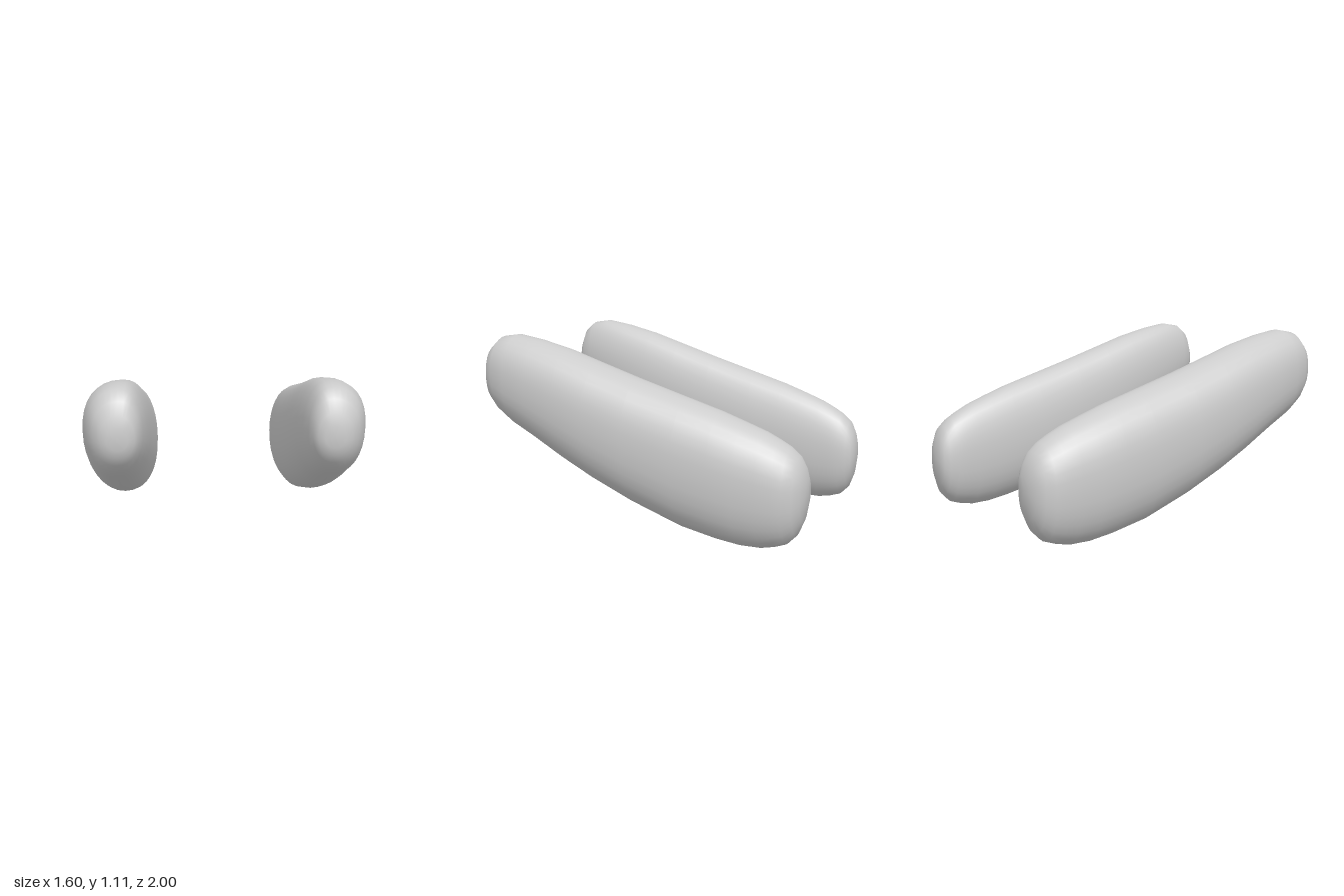
import * as THREE from 'three';
import { mergeVertices } from 'three/addons/utils/BufferGeometryUtils.js';

// Cross-sections from back to front: z, bottom y, top y, inner x, outer x
const SECTIONS = [
  [-1, 0.32, 0.32, 0.54, 0.54],
  [-0.997, 0.25, 0.40, 0.48, 0.59],
  [-0.98, 0.16, 0.46, 0.45, 0.64],
  [-0.95, 0.085, 0.52, 0.43, 0.685],
  [-0.9, 0.035, 0.565, 0.415, 0.71],
  [-0.84, 0.015, 0.60, 0.408, 0.728],
  [-0.76, 0, 0.64, 0.402, 0.745],
  [-0.64, 0.003, 0.685, 0.396, 0.765],
  [-0.5, 0.025, 0.735, 0.392, 0.78],
  [-0.3, 0.07, 0.795, 0.388, 0.792],
  [0, 0.18, 0.885, 0.386, 0.80],
  [0.25, 0.29, 0.965, 0.387, 0.798],
  [0.45, 0.39, 1.03, 0.391, 0.79],
  [0.65, 0.5, 1.08, 0.401, 0.775],
  [0.8, 0.575, 1.106, 0.415, 0.757],
  [0.9, 0.64, 1.092, 0.433, 0.727],
  [0.955, 0.695, 1.045, 0.45, 0.695],
  [0.985, 0.745, 0.97, 0.475, 0.655],
  [0.997, 0.79, 0.91, 0.51, 0.62],
  [1, 0.85, 0.85, 0.565, 0.565],
];
const SIDES = 32;

// Superellipse power, slightly boxier than an ellipse
const soft = (v) => Math.sign(v) * Math.pow(Math.abs(v), 0.9);

function padGeometry(side) {
  const positions = [];
  const indices = [];
  SECTIONS.forEach(([z, bottom, top, inner, outer], i) => {
    const halfW = (outer - inner) / 2;
    for (let j = 0; j < SIDES; j++) {
      const a = (j / SIDES) * Math.PI * 2;
      const u = soft(Math.cos(a));
      const v = soft(Math.sin(a));
      // The upper half leans a little towards the middle of the model
      const lean = -0.15 * halfW * Math.max(v, 0) ** 2 * (1 - u * u);
      const x = (inner + outer) / 2 + halfW * u + lean;
      positions.push(side * x, (top + bottom) / 2 + ((top - bottom) / 2) * v, z);
      if (i === SECTIONS.length - 1) continue;
      const p = i * SIDES + j;
      const q = i * SIDES + ((j + 1) % SIDES);
      const r = p + SIDES;
      const s = q + SIDES;
      // Collapsed end sections need only one triangle per side
      const tris = [];
      if (i > 0) tris.push([p, q, r]);
      if (i < SECTIONS.length - 2) tris.push([q, s, r]);
      if (i === 0) tris[0] = [p, s, r];
      for (const [k, l, m] of tris) indices.push(...(side > 0 ? [k, l, m] : [k, m, l]));
    }
  });
  let geometry = new THREE.BufferGeometry();
  geometry.setAttribute('position', new THREE.Float32BufferAttribute(positions, 3));
  geometry.setIndex(indices);
  geometry = mergeVertices(geometry, 1e-5);
  geometry.computeVertexNormals();
  return geometry;
}

export function createModel() {
  const group = new THREE.Group();
  const material = new THREE.MeshStandardMaterial({ color: 0xcccccc });
  // Mirrored pair of sloping rounded pads
  for (const [name, side] of [['leftPad', 1], ['rightPad', -1]]) {
    const pad = new THREE.Mesh(padGeometry(side), material);
    pad.name = name;
    group.add(pad);
  }
  return group;
}
